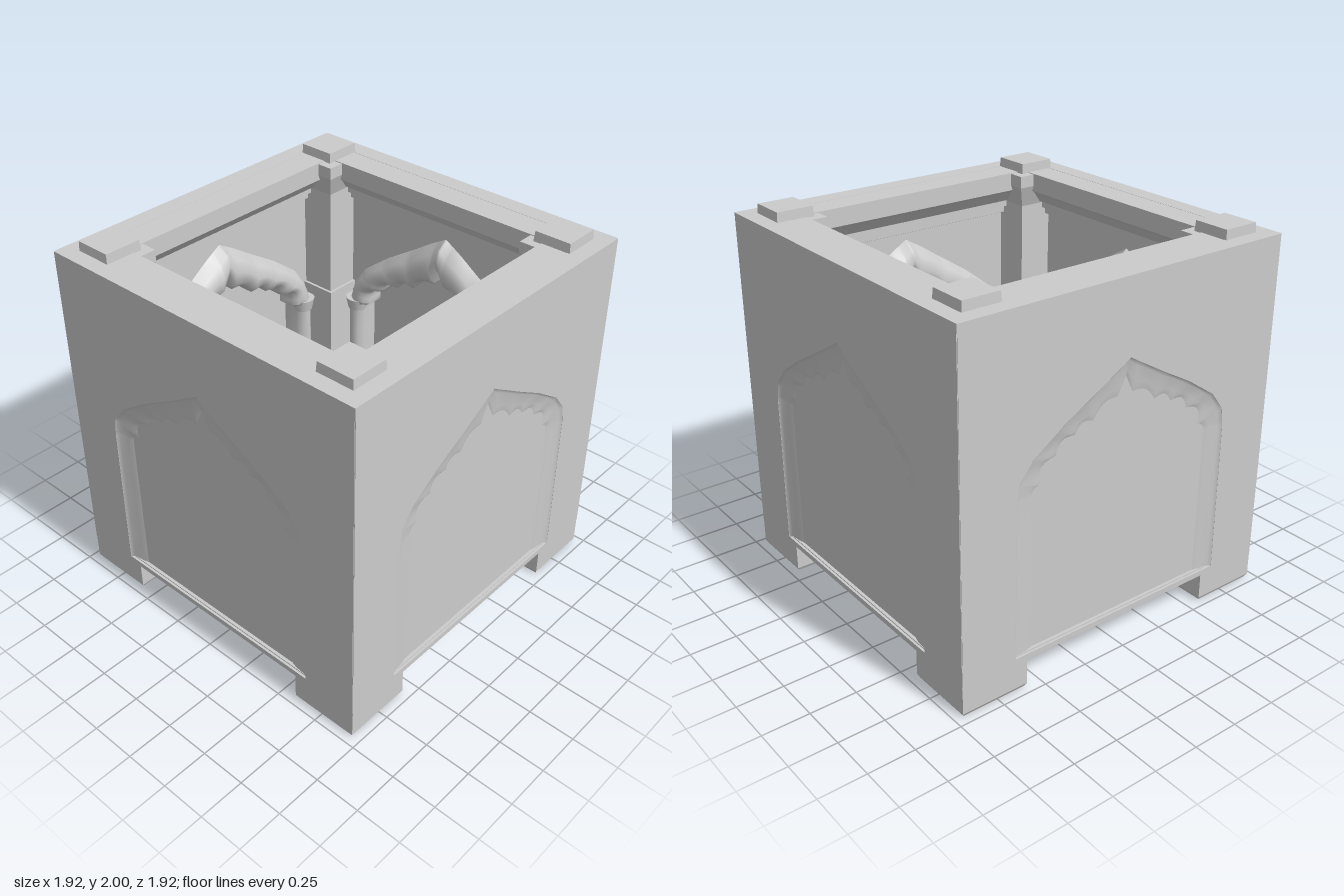
import * as THREE from 'three';

const mat = new THREE.MeshStandardMaterial({ color: 0xcccccc, side: THREE.DoubleSide });

function add(group, name, geo, x = 0, y = 0, z = 0) {
  const m = new THREE.Mesh(geo, mat);
  m.name = name;
  m.position.set(x, y, z);
  group.add(m);
  return m;
}

// Right half of the arch: [outline x, y, scalloped edge x, y, lobe bulge leading to this point]
const HALF = [
  [0.655, 0.19, 0.54, 0.19, 0],
  [0.65, 1.02, 0.545, 1.02, 0],
  [0.635, 1.12, 0.50, 1.06, 0.01],
  [0.56, 1.215, 0.41, 1.175, 0.045],
  [0.39, 1.33, 0.30, 1.245, 0.035],
  [0.22, 1.425, 0.19, 1.285, 0.03],
  [0.05, 1.525, 0.045, 1.365, 0.03],
  [0, 1.555, 0, 1.46, 0]
];

// Paired points of the plain outline and the scalloped edge, right foot to left foot
function archCurves(steps = 6) {
  const outer = [], inner = [];
  for (let i = 1; i < HALF.length; i++) {
    const a = HALF[i - 1], b = HALF[i];
    const dx = b[2] - a[2], dy = b[3] - a[3], len = Math.hypot(dx, dy);
    for (let s = i === 1 ? 0 : 1; s <= steps; s++) {
      const t = s / steps, k = (b[4] * Math.sin(Math.PI * t)) / len;
      outer.push(new THREE.Vector2(a[0] + (b[0] - a[0]) * t, a[1] + (b[1] - a[1]) * t));
      inner.push(new THREE.Vector2(a[2] + dx * t + dy * k, a[3] + dy * t - dx * k));
    }
  }
  const mirror = (l) => l.concat(l.slice(0, -1).reverse().map((p) => new THREE.Vector2(-p.x, p.y)));
  return { outer: mirror(outer), inner: mirror(inner) };
}

// Surface through rows of points, each row lying at its own depth
function loft(rows) {
  const n = rows[0].pts.length, pos = [], idx = [];
  rows.forEach((r) => r.pts.forEach((p) => pos.push(p.x, p.y, r.z)));
  for (let r = 0; r < rows.length - 1; r++) {
    for (let i = 0; i < n - 1; i++) {
      const a = r * n + i, b = a + n;
      idx.push(a, a + 1, b, b, a + 1, b + 1);
    }
  }
  const g = new THREE.BufferGeometry();
  g.setAttribute('position', new THREE.Float32BufferAttribute(pos, 3));
  g.setIndex(idx);
  g.computeVertexNormals();
  return g;
}

const blend = (a, b, t) => a.map((p, i) => p.clone().lerp(b[i], t));

function makeSide() {
  const side = new THREE.Group();
  const { outer, inner } = archCurves();

  // Wall slab with the arch cut out
  const wall = new THREE.Shape();
  wall.moveTo(-0.957, 0.16).lineTo(0.957, 0.16).lineTo(0.957, 1.95).lineTo(-0.957, 1.95).closePath();
  wall.holes.push(new THREE.Path(outer));
  add(side, 'wall', new THREE.ExtrudeGeometry(wall, { depth: 0.1, bevelEnabled: false }), 0, 0, 0.86);

  // Thin panel closing the arch
  add(side, 'archPanel', new THREE.ExtrudeGeometry(new THREE.Shape(outer), { depth: 0.01, bevelEnabled: false }), 0, 0, 0.92);

  // Sloping outer moulding with the scalloped inner edge
  add(side, 'outerMoulding', loft([
    { pts: outer, z: 0.959 },
    { pts: blend(outer, inner, 0.15), z: 0.946 },
    { pts: blend(outer, inner, 0.7), z: 0.94 },
    { pts: inner, z: 0.931 }
  ]));

  // Rounded scalloped arch and jamb columns on the inside
  const raised = outer.map((p) => new THREE.Vector2(p.x * 1.02,
    p.y + 0.09 * THREE.MathUtils.clamp((p.y - 1) / 0.5, 0, 1)));
  add(side, 'innerScallopedArch', loft([
    { pts: inner, z: 0.92 },
    { pts: inner, z: 0.83 },
    { pts: blend(inner, raised, 0.15), z: 0.79 },
    { pts: blend(inner, raised, 0.45), z: 0.775 },
    { pts: blend(inner, raised, 0.75), z: 0.80 },
    { pts: raised, z: 0.862 }
  ]));

  // Capital and base rings on the jamb columns
  for (const s of [-1, 1]) {
    add(side, 'columnCapital', new THREE.CylinderGeometry(0.07, 0.055, 0.07, 16), s * 0.6, 1.04, 0.83);
    add(side, 'columnBase', new THREE.CylinderGeometry(0.055, 0.07, 0.06, 16), s * 0.6, 0.22, 0.83);
  }

  // Top beam with stepped moulding beneath, section swept along the side
  const section = new THREE.Shape([
    [0.94, 1.949], [0.71, 1.949], [0.71, 1.85], [0.735, 1.83], [0.79, 1.77],
    [0.81, 1.77], [0.81, 1.73], [0.835, 1.73], [0.835, 1.69], [0.86, 1.68], [0.94, 1.68]
  ].map(([z, y]) => new THREE.Vector2(-z, y)));
  const beam = new THREE.ExtrudeGeometry(section, { depth: 1.88, bevelEnabled: false });
  beam.rotateY(Math.PI / 2);
  add(side, 'topBeam', beam, -0.94, 0, 0);

  add(side, 'sill', new THREE.BoxGeometry(1.3, 0.035, 0.11), 0, 0.178, 0.892);
  return side;
}

// Square tapered block standing on y
function taper(group, name, bottomHalf, topHalf, y0, y1, c) {
  const g = new THREE.CylinderGeometry(topHalf * Math.SQRT2, bottomHalf * Math.SQRT2, y1 - y0, 4).toNonIndexed();
  g.rotateY(Math.PI / 4);
  g.computeVertexNormals();
  add(group, name, g, c, (y0 + y1) / 2, c);
}

function makeCorner() {
  const corner = new THREE.Group();
  const c = 0.77;
  taper(corner, 'footBevel', 0.177, 0.188, 0, 0.02, c);
  taper(corner, 'foot', 0.188, 0.188, 0.02, 0.17, c);
  taper(corner, 'postBase', 0.15, 0.15, 0.17, 0.27, c);
  taper(corner, 'postBaseTaper', 0.15, 0.105, 0.27, 0.34, c);
  taper(corner, 'postShaft', 0.105, 0.105, 0.34, 1.76, c);
  taper(corner, 'postRing', 0.12, 0.12, 1.1, 1.15, c);
  taper(corner, 'postCapital', 0.105, 0.15, 1.76, 1.88, c);
  taper(corner, 'postCapitalBlock', 0.15, 0.15, 1.88, 1.945, c);
  taper(corner, 'topCap', 0.104, 0.1, 1.94, 2.0, c);
  return corner;
}

export function createModel() {
  const model = new THREE.Group();
  const names = ['front', 'left', 'back', 'right'];
  names.forEach((n, i) => {
    const side = makeSide();
    side.name = n + 'Side';
    side.rotation.y = (i * Math.PI) / 2;
    const corner = makeCorner();
    corner.name = n + 'CornerPost';
    corner.rotation.y = (i * Math.PI) / 2;
    model.add(side, corner);
  });
  return model;
}
